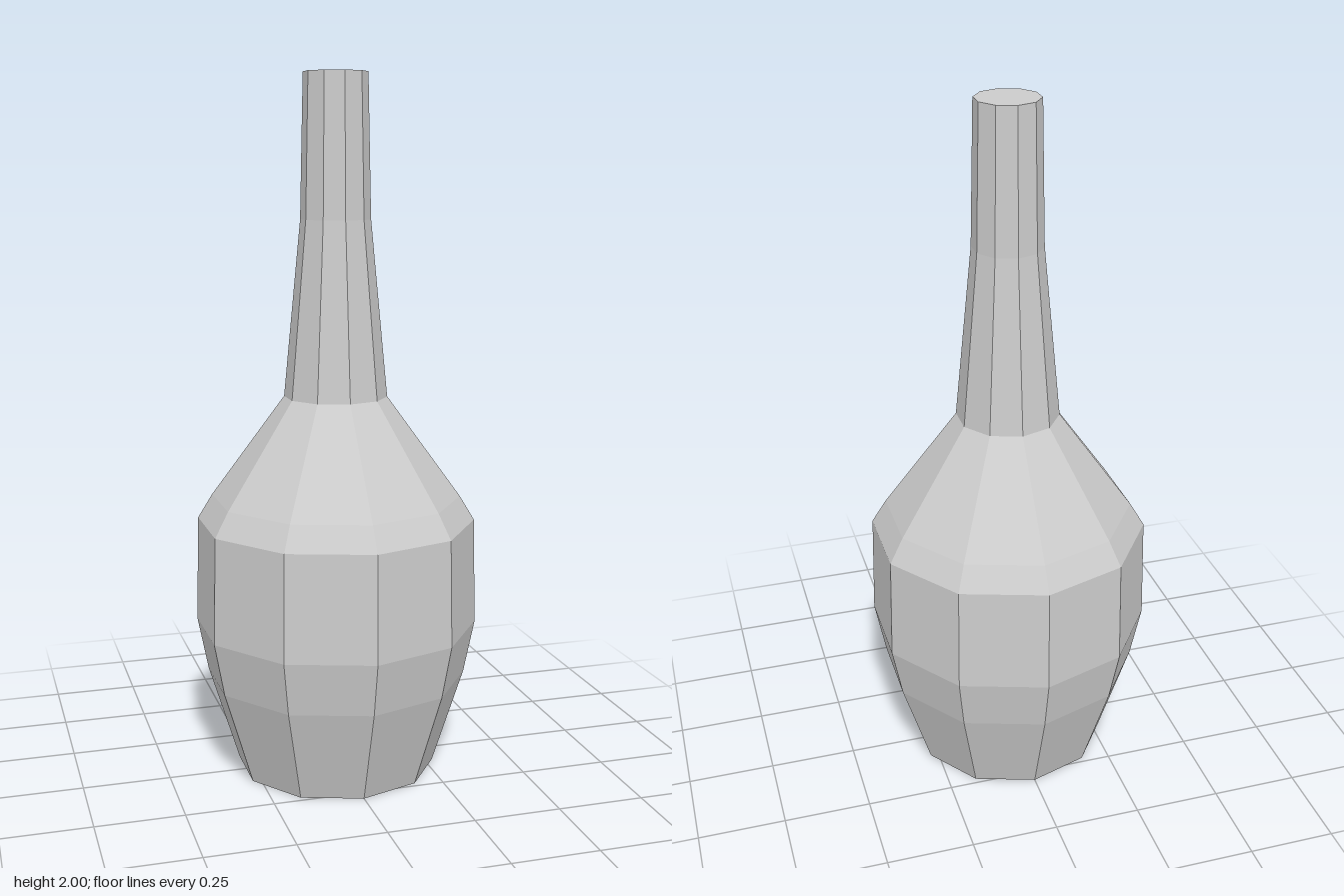
import * as THREE from 'three';

const SIDES = 10;

export function createModel() {
  const model = new THREE.Group();
  model.name = 'bottle';

  const grey = new THREE.MeshStandardMaterial({ color: 0xcccccc, flatShading: true });
  grey.name = 'plain grey';

  // Faceted surface of revolution from [radius, height] pairs, bottom to top
  function addTurned(name, profile) {
    const points = profile.map(([r, y]) => new THREE.Vector2(r, y));
    const mesh = new THREE.Mesh(new THREE.LatheGeometry(points, SIDES), grey);
    mesh.name = name;
    model.add(mesh);
  }

  // Flat base, bulging belly and sloping shoulder
  addTurned('body', [
    [0, 0], [0.288, 0], [0.377, 0.28], [0.408, 0.435],
    [0.4, 0.74], [0.358, 0.81], [0.147, 1.1],
  ]);

  // Long tapering neck with a closed flat top
  addTurned('neck', [[0.147, 1.1], [0.099, 1.6], [0.09, 2], [0, 2]]);

  return model;
}
